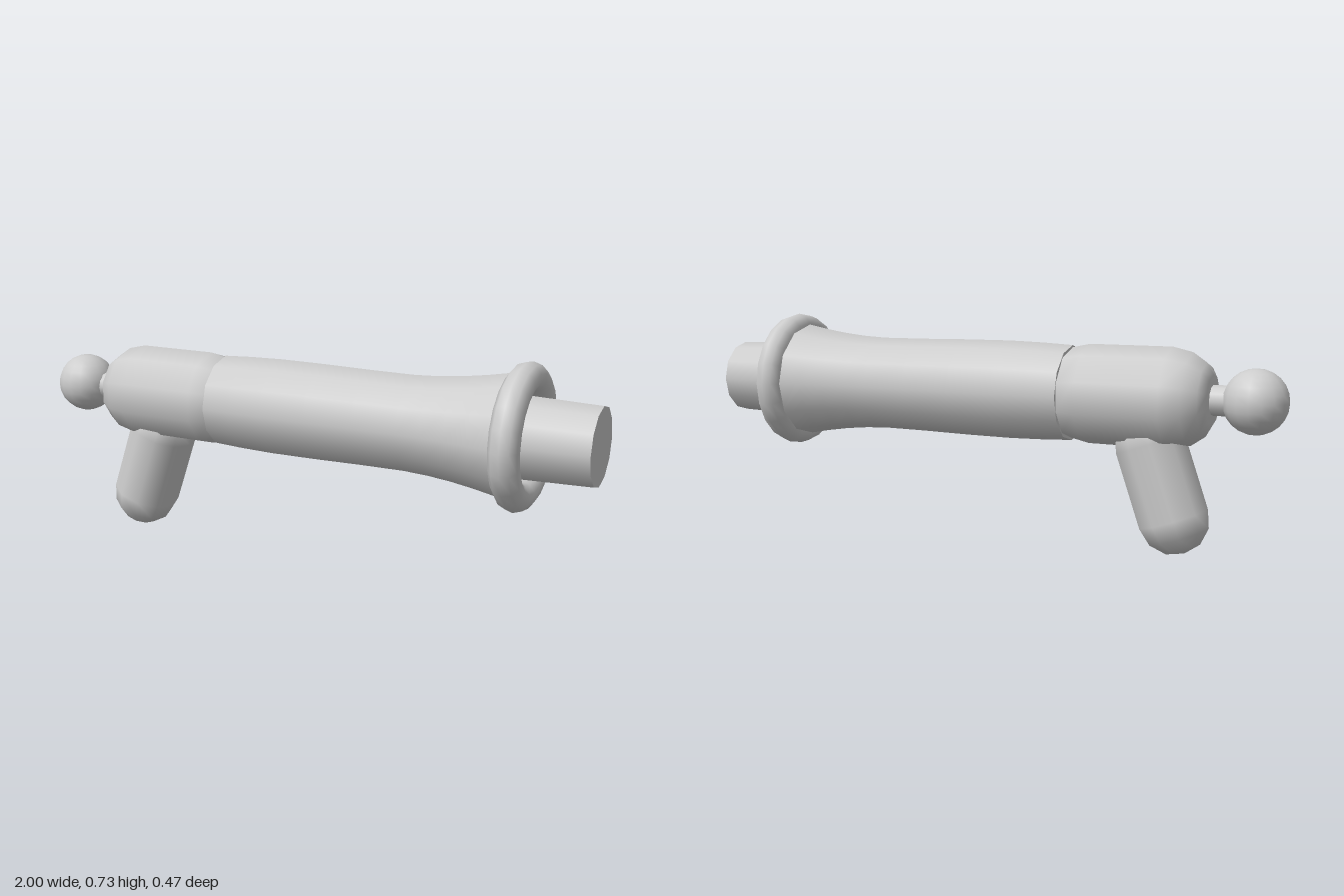
import * as THREE from 'three';

const AXIS_Y = 0.498;

export function createModel() {
  const group = new THREE.Group();
  const grey = new THREE.MeshStandardMaterial({ color: 0xcccccc });
  grey.name = 'light grey';

  const add = (name, geometry, x, y = AXIS_Y) => {
    const mesh = new THREE.Mesh(geometry, grey);
    mesh.name = name;
    mesh.position.set(x, y, 0);
    group.add(mesh);
    return mesh;
  };

  // Surface of revolution along x from [x, radius] pairs
  const turned = (name, profile, sides) => {
    const points = profile.map(([x, r]) => new THREE.Vector2(r, x));
    const mesh = add(name, new THREE.LatheGeometry(points, sides, Math.PI / 2), 0);
    mesh.rotation.z = -Math.PI / 2;
    return mesh;
  };

  // Cylinder lying along x between two stations
  const rod = (name, x0, x1, r0, r1) => {
    const mesh = add(name, new THREE.CylinderGeometry(r1, r0, x1 - x0, 12), (x0 + x1) / 2);
    mesh.rotation.z = -Math.PI / 2;
    return mesh;
  };

  // Flat end plate facing +x or -x
  const disc = (name, x, r, dir) => {
    add(name, new THREE.CircleGeometry(r, 12), x).rotation.y = dir * Math.PI / 2;
  };

  // Rounded rear housing
  turned('rearHousing', [
    [-0.766, 0], [-0.765, 0.08], [-0.745, 0.115], [-0.7, 0.146], [-0.635, 0.161],
    [-0.36, 0.161], [-0.3, 0.148], [-0.25, 0.115], [-0.23, 0],
  ], 10);

  // Barrel flaring toward the front collar
  turned('barrel', [
    [-0.3, 0.155], [-0.2, 0.16], [-0.08, 0.163], [0.08, 0.162], [0.25, 0.159],
    [0.4, 0.158], [0.48, 0.162], [0.56, 0.17], [0.64, 0.182], [0.72, 0.197],
  ], 12);
  disc('barrelRearPlate', -0.3, 0.155, -1);
  disc('barrelFrontPlate', 0.72, 0.197, 1);

  // Collar ring and protruding muzzle
  add('collarRing', new THREE.TorusGeometry(0.186, 0.048, 10, 20), 0.76)
    .rotation.y = Math.PI / 2;
  rod('muzzle', 0.68, 1, 0.135, 0.125);

  // Rear knob on its neck
  rod('knobNeck', -0.84, -0.74, 0.048, 0.048);
  add('knob', new THREE.SphereGeometry(0.102, 16, 12), -0.898, 0.5);

  // Slanted grip with rounded ends, its top buried in the housing
  const tilt = THREE.MathUtils.degToRad(19);
  const length = 0.25;
  const grip = add('grip', new THREE.CapsuleGeometry(0.117, length, 3, 10),
    -0.648 + Math.sin(tilt) * length / 2, 0.116 + Math.cos(tilt) * length / 2);
  grip.rotation.z = -tilt;

  return group;
}
